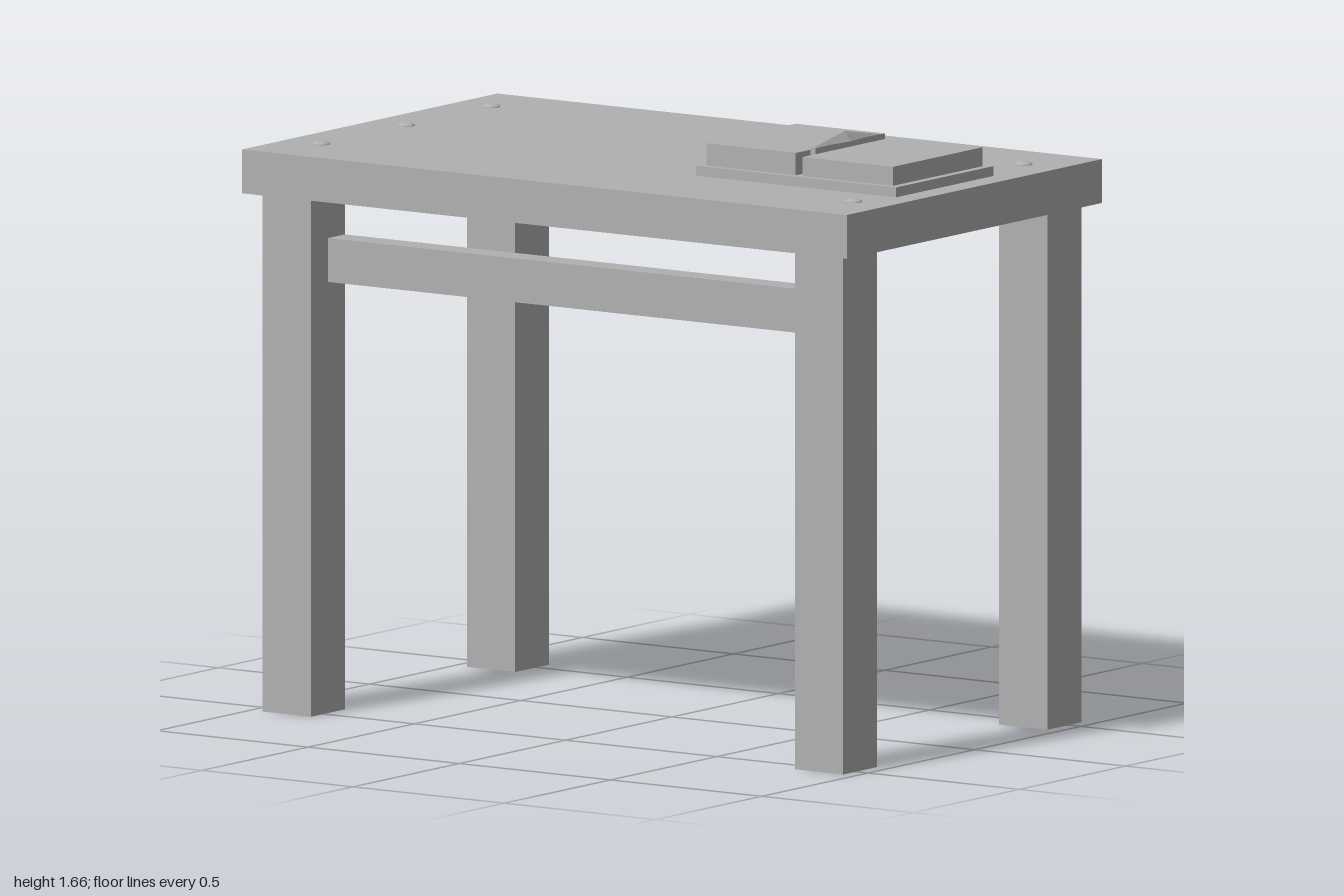
import * as THREE from 'three';

export function createModel() {
  const group = new THREE.Group();
  const grey = new THREE.MeshStandardMaterial({ color: 0xb0b0b0 });
  grey.name = 'plain grey';

  const add = (name, geometry, x = 0, y = 0, z = 0) => {
    const mesh = new THREE.Mesh(geometry, grey);
    mesh.name = name;
    mesh.position.set(x, y, z);
    group.add(mesh);
    return mesh;
  };

  // Box given by its limits along each axis
  const box = (name, [x0, x1], [y0, y1], [z0, z1]) =>
    add(name, new THREE.BoxGeometry(x1 - x0, y1 - y0, z1 - z0),
      (x0 + x1) / 2, (y0 + y1) / 2, (z0 + z1) / 2);

  // Table
  box('tableTop', [-1, 1], [1.42, 1.54], [-0.6, 0.6]);
  for (const x of [-0.88, 0.88]) {
    for (const z of [-0.48, 0.48]) {
      box('leg', [x - 0.08, x + 0.08], [0, 1.42], [z - 0.08, z + 0.08]);
    }
  }
  box('frontRail', [-0.8, 0.8], [1.18, 1.3], [0.4, 0.48]);

  // Shallow domed studs on the top
  const dome = new THREE.SphereGeometry(0.025, 16, 6, 0, Math.PI * 2, 0, Math.PI / 2);
  dome.scale(1, 0.4, 1);
  for (const [x, z] of [[-0.88, -0.4], [-0.88, 0], [-0.88, 0.4], [0.88, -0.4], [0.88, 0.4]]) {
    add('stud', dome, x, 1.54, z);
  }

  // Open book: cover and two page blocks
  box('bookCover', [0.27, 0.93], [1.54, 1.567], [-0.19, 0.27]);
  box('rightPages', [0.29, 0.585], [1.567, 1.628], [-0.17, 0.25]);
  box('leftPages', [0.608, 0.907], [1.567, 1.619], [-0.17, 0.25]);

  // Thin upright spine with a diamond-shaped cap
  box('spine', [0.592, 0.608], [1.567, 1.636], [-0.11, 0.19]);
  const cap = new THREE.ConeGeometry(1, 0.027, 4).toNonIndexed();
  cap.scale(0.019, 1, 0.15);
  cap.computeVertexNormals();
  add('spineCap', cap, 0.6, 1.6495, 0.04);

  return group;
}
